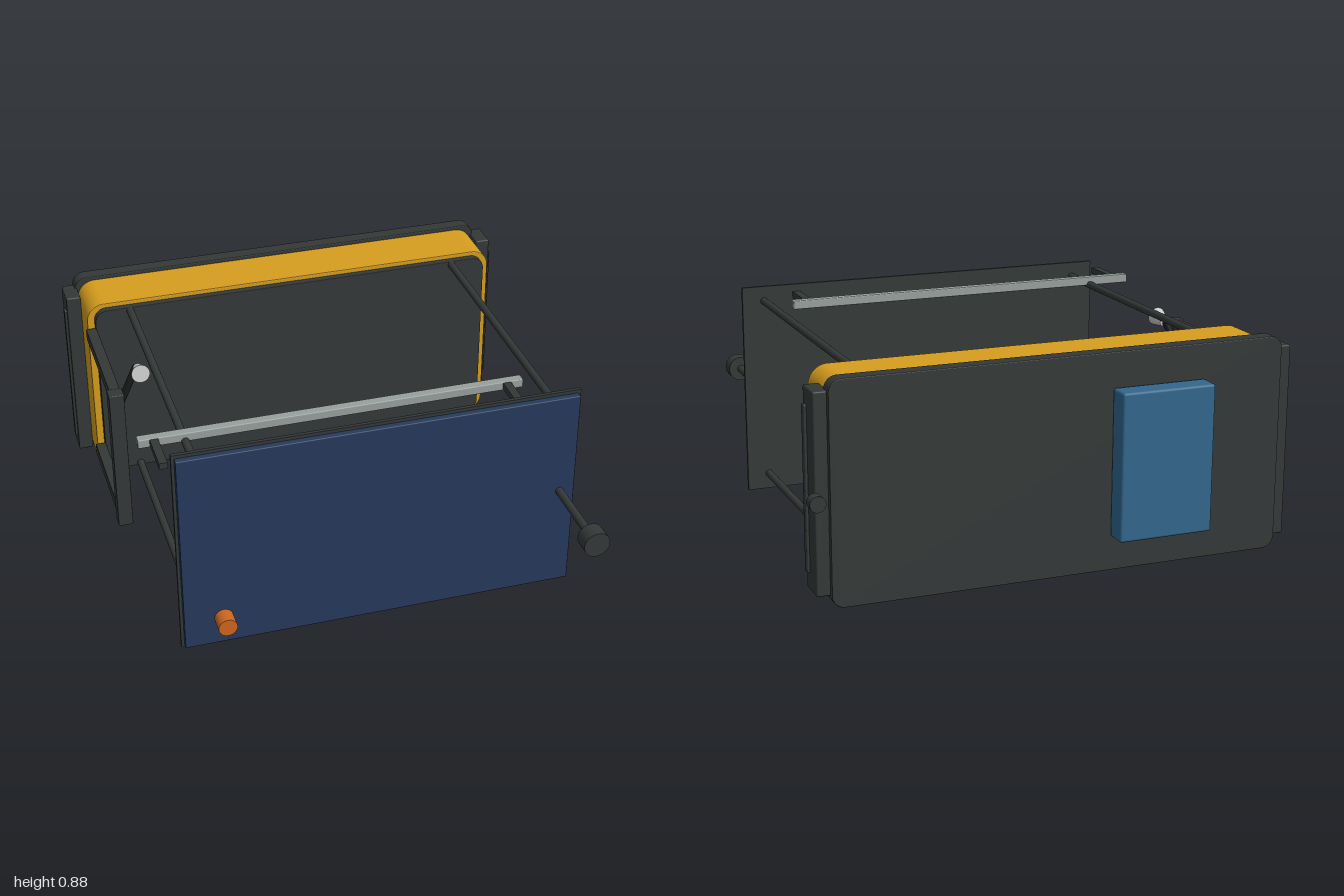
import * as THREE from 'three';
import { RoundedBoxGeometry } from 'three/addons/geometries/RoundedBoxGeometry.js';

const mat = (color) => new THREE.MeshStandardMaterial({ color });
const dark = mat(0x343938), black = mat(0x1c1e1e), yellow = mat(0xd69e1e), navy = mat(0x263a5c);
const blue = mat(0x32678c), orange = mat(0xd0661f), glass = mat(0x98a09e), white = mat(0xcccccc);

export function createModel() {
  const root = new THREE.Group();
  const body = new THREE.Group();
  body.name = 'body';
  body.position.x = -0.02;
  root.add(body);

  const add = (name, geometry, material, x, y, z) => {
    const mesh = new THREE.Mesh(geometry, material);
    mesh.name = name;
    mesh.position.set(x, y, z);
    body.add(mesh);
    return mesh;
  };

  // Box given by its limits, optionally with softened edges
  const box = (name, material, [x0, x1], [y0, y1], [z0, z1], r = 0) => {
    const s = [x1 - x0, y1 - y0, z1 - z0];
    const g = r ? new RoundedBoxGeometry(...s, 2, r) : new THREE.BoxGeometry(...s);
    return add(name, g, material, (x0 + x1) / 2, (y0 + y1) / 2, (z0 + z1) / 2);
  };

  // Round bar along z
  const bar = (name, material, x, y, z0, z1, r) => {
    const g = new THREE.CylinderGeometry(r, r, z1 - z0, 32).rotateX(Math.PI / 2);
    return add(name, g, material, x, y, (z0 + z1) / 2);
  };

  // Upright slab with rounded corners, standing across z
  const slab = (name, material, w, h, r, y, z0, z1, bevel) => {
    const a = w / 2 - bevel, b = h / 2 - bevel, s = new THREE.Shape();
    s.moveTo(-a + r, -b).lineTo(a - r, -b).absarc(a - r, -b + r, r, -Math.PI / 2, 0)
      .lineTo(a, b - r).absarc(a - r, b - r, r, 0, Math.PI / 2)
      .lineTo(-a + r, b).absarc(-a + r, b - r, r, Math.PI / 2, Math.PI)
      .lineTo(-a, -b + r).absarc(-a + r, -b + r, r, Math.PI, Math.PI * 1.5);
    const g = new THREE.ExtrudeGeometry(s, {
      depth: z1 - z0 - 2 * bevel, bevelEnabled: bevel > 0, bevelSize: bevel,
      bevelThickness: bevel, bevelSegments: 2, curveSegments: 8,
    });
    return add(name, g, material, 0, y, z0 + bevel);
  };

  // Rear housing: back plate, coloured shell, front plate
  slab('backPlate', dark, 1.78, 0.84, 0.045, 0.445, -0.91, -0.85, 0.004);
  slab('shell', yellow, 1.76, 0.815, 0.07, 0.443, -0.85, -0.63, 0.004);
  slab('screenPlate', dark, 1.70, 0.78, 0.05, 0.443, -0.63, -0.60, 0.002);
  box('batteryPack', blue, [-0.565, -0.19], [0.16, 0.73], [-1, -0.91], 0.01);

  // Side grips with a raised strip
  for (const side of [-1, 1]) {
    const span = (a, b) => (side > 0 ? [a, b] : [-b, -a]);
    box('sideGrip', dark, span(0.88, 0.94), [0.07, 0.82], [-0.89, -0.77], 0.006);
    box('gripStrip', dark, span(0.93, 0.951), [0.135, 0.757], [-0.812, -0.783], 0.005);
  }
  bar('sideKnob', dark, 0.955, 0.445, -0.98, -0.937, 0.03);

  // Long rods joining housing and panel
  for (const x of [-0.703, 0.703])
    for (const y of [0.065, 0.818]) bar('rod', dark, x, y, -0.605, 0.59, 0.0155);

  // Front panel with controls
  box('panelBacking', dark, [-0.795, 0.795], [0, 0.88], [0.585, 0.6]);
  box('frontPanel', navy, [-0.784, 0.784], [0.012, 0.868], [0.6, 0.628], 0.004);
  bar('button', orange, -0.63, 0.13, 0.625, 0.697, 0.037);
  bar('knobStem', dark, 0.723, 0.445, 0.625, 0.935, 0.0165);
  bar('knob', dark, 0.723, 0.445, 0.932, 1, 0.052);

  // Clear bar on two arms behind the panel's top edge
  box('topBar', glass, [-0.88, 0.63], [0.816, 0.852], [0.388, 0.426], 0.004);
  for (const x of [-0.82, 0.563])
    box('topBarArm', dark, [x - 0.016, x + 0.016], [0.823, 0.849], [0.405, 0.59]);

  // Side handle
  box('handlePost', dark, [-0.9, -0.84], [0.135, 0.755], [-0.117, -0.06], 0.004);
  for (const y of [0.162, 0.728])
    box('handleArm', dark, [-0.89, -0.846], [y - 0.024, y + 0.024], [-0.615, -0.1], 0.003);

  // Lamp on a slanted stalk
  const from = new THREE.Vector3(-0.855, 0.515, -0.276), to = new THREE.Vector3(-0.76, 0.78, -0.215);
  const dir = to.clone().sub(from);
  const mid = from.clone().add(to).multiplyScalar(0.5);
  const stalk = add('lampStalk', new THREE.CylinderGeometry(0.015, 0.015, dir.length(), 16), black, mid.x, mid.y, mid.z);
  stalk.quaternion.setFromUnitVectors(new THREE.Vector3(0, 1, 0), dir.normalize());
  add('lampHead', new THREE.CylinderGeometry(0.037, 0.018, 0.07, 32).rotateX(Math.PI / 2 - 0.15), white, -0.755, 0.782, -0.178);

  return root;
}
